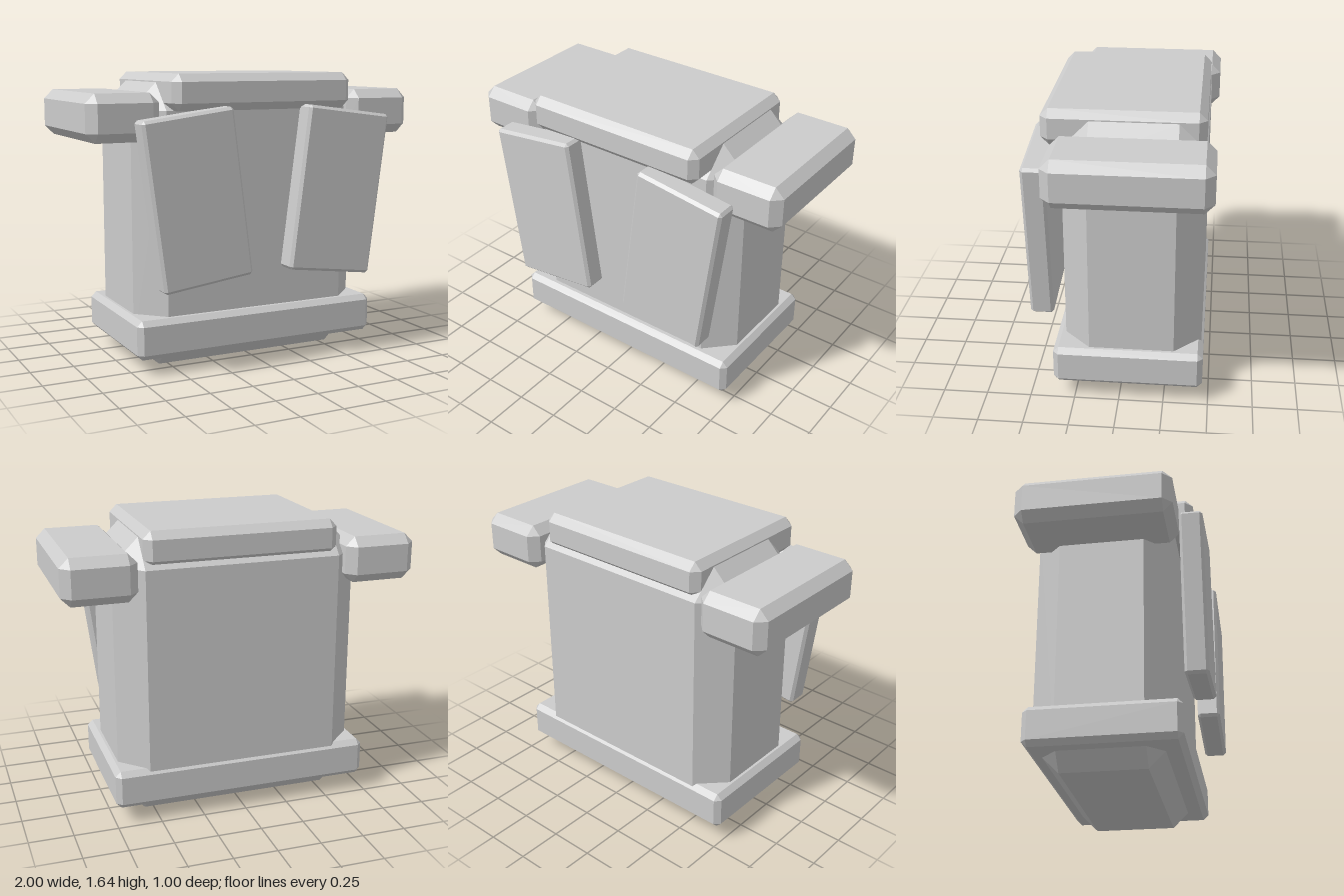
import * as THREE from 'three';
import { ConvexGeometry } from 'three/addons/geometries/ConvexGeometry.js';

const material = new THREE.MeshStandardMaterial({ color: 0xcccccc, flatShading: true });

// Box with every edge bevelled by c
function bevelledBox(name, [w, h, d], c, [x, y, z]) {
  const half = [w / 2, h / 2, d / 2];
  const points = [];
  for (const sx of [-1, 1]) for (const sy of [-1, 1]) for (const sz of [-1, 1]) {
    // Each corner is cut into three points, one on each adjoining face
    for (let face = 0; face < 3; face++) {
      const p = half.map((v, axis) => (axis === face ? v : v - c));
      points.push(new THREE.Vector3(p[0] * sx, p[1] * sy, p[2] * sz));
    }
  }
  const mesh = new THREE.Mesh(new ConvexGeometry(points), material);
  mesh.name = name;
  mesh.position.set(x, y, z);
  return mesh;
}

export function createModel() {
  const model = new THREE.Group();
  model.name = 'torsoArmour';

  // Trunk, belt round the waist and collar block on top
  model.add(
    bevelledBox('torso', [1.4, 1.59, 0.77], 0.15, [0, 0.795, -0.067]),
    bevelledBox('belt', [1.49, 0.22, 0.835], 0.03, [0, 0.2, -0.048]),
    bevelledBox('collar', [1.1, 0.2, 0.875], 0.043, [0, 1.54, -0.008])
  );

  // Shoulder pads and tilted chest plates, mirrored
  for (const [side, s] of [['left', 1], ['right', -1]]) {
    model.add(bevelledBox(side + 'ShoulderPad', [0.41, 0.26, 0.86], 0.052, [0.795 * s, 1.41, -0.07]));
    const plate = bevelledBox(side + 'ChestPlate', [0.53, 0.93, 0.13], 0.016, [0.438 * s, 0.972, 0.435]);
    plate.rotation.z = -0.13 * s;
    model.add(plate);
  }
  return model;
}
